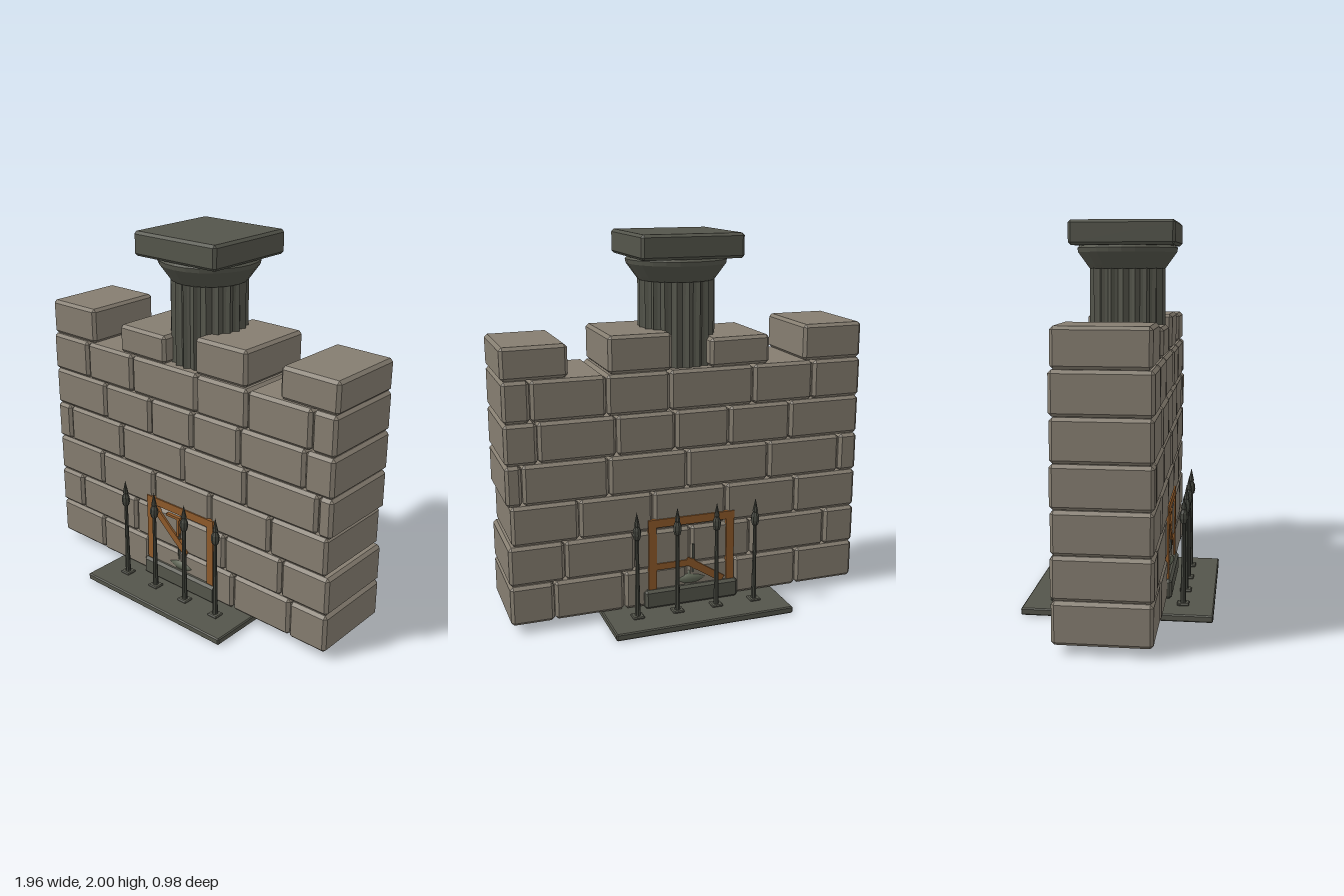
import * as THREE from 'three';
import { ConvexGeometry } from 'three/addons/geometries/ConvexGeometry.js';

const mat = (name, color) => {
  const m = new THREE.MeshStandardMaterial({ color });
  m.name = name;
  return m;
};

// Box with chamfered edges and corners
function chamferBox(w, h, d, b) {
  const pts = [];
  for (const sx of [-1, 1]) for (const sy of [-1, 1]) for (const sz of [-1, 1]) {
    for (let axis = 0; axis < 3; axis++) {
      const inset = [b, b, b];
      inset[axis] = 0;
      pts.push(new THREE.Vector3(sx * (w / 2 - inset[0]), sy * (h / 2 - inset[1]), sz * (d / 2 - inset[2])));
    }
  }
  return new ConvexGeometry(pts);
}

export function createModel() {
  const model = new THREE.Group();
  model.name = 'fortifiedWall';
  const stone = mat('wallStone', 0x857d70);
  const dark = mat('darkStone', 0x54554b);
  const iron = mat('iron', 0x45473f);
  const wood = mat('wood', 0x8f5a2a);
  const bronze = mat('agedBronze', 0x5f6555);

  const add = (parent, name, geo, material, x = 0, y = 0, z = 0) => {
    const mesh = new THREE.Mesh(geo, material);
    mesh.name = name;
    mesh.position.set(x, y, z);
    parent.add(mesh);
    return mesh;
  };
  const group = (name, parent = model) => {
    const g = new THREE.Group();
    g.name = name;
    parent.add(g);
    return g;
  };

  // Brick courses, listed by their vertical joints
  const wall = group('wall');
  const courses = [
    [-0.98, -0.625, -0.25, 0.02, 0.37, 0.745, 0.975],
    [-0.98, -0.795, -0.345, 0, 0.31, 0.685, 0.975],
    [-0.98, -0.61, -0.2, 0.21, 0.605, 0.955],
    [-0.98, -0.87, -0.445, 0.02, 0.445, 0.89, 0.975],
    [-0.98, -0.565, -0.215, 0.085, 0.4, 0.805, 0.975],
    [-0.98, -0.695, -0.35, 0.115, 0.45, 0.835, 0.975],
  ];
  const brick = (name, x0, x1, y0, y1, depth) =>
    add(wall, name, chamferBox(x1 - x0, y1 - y0, depth, 0.016), stone, (x0 + x1) / 2, (y0 + y1) / 2, 0);
  courses.forEach((joints, row) => {
    const y = 0.044 + row * 0.2125;
    for (let i = 0; i < joints.length - 1; i++) {
      const depth = 0.474 + ((i * 3 + row * 2) % 4) * 0.003;
      brick('brick', joints[i] + 0.002, joints[i + 1] - 0.002, y, y + 0.21, depth);
    }
  });

  // Battlements
  [[-0.98, -0.64, 1.51], [-0.44, -0.11, 1.47], [0.1, 0.435, 1.51], [0.64, 0.975, 1.485]]
    .forEach(([x0, x1, top], i) => {
      brick('merlon', x0, x1, 1.318, top, 0.46).rotation.z = i === 1 || i === 3 ? -0.01 : 0;
    });

  // Fluted column: scalloped outline pushed upward
  const column = group('column');
  const outline = [];
  const flutes = 20, steps = 4;
  for (let i = 0; i < flutes * steps; i++) {
    const a = (i / (flutes * steps)) * Math.PI * 2;
    const r = 0.202 - 0.02 * Math.sin(((i % steps) / steps) * Math.PI);
    outline.push(new THREE.Vector2(r * Math.cos(a), r * Math.sin(a)));
  }
  const shaftGeo = new THREE.ExtrudeGeometry(new THREE.Shape(outline), { depth: 0.6, bevelEnabled: false });
  shaftGeo.rotateX(-Math.PI / 2);
  add(column, 'flutedShaft', shaftGeo, dark, 0, 1.17, 0);

  // Capital: flaring ring below a square slab
  const flare = [[0, 1.755], [0.2, 1.755], [0.215, 1.775], [0.262, 1.84], [0.266, 1.862], [0.25, 1.876], [0, 1.876]]
    .map(([r, y]) => new THREE.Vector2(r, y));
  const flareGeo = new THREE.LatheGeometry(flare, 24).toNonIndexed();
  flareGeo.computeVertexNormals();
  add(column, 'capitalFlare', flareGeo, dark);
  add(column, 'capitalSlab', chamferBox(0.545, 0.126, 0.545, 0.014), dark, 0, 1.937, 0);

  // Ground plate and threshold
  add(model, 'groundPlate', chamferBox(0.98, 0.037, 0.98, 0.006), dark, 0, 0.0185, 0);
  add(model, 'threshold', chamferBox(0.53, 0.105, 0.53, 0.014), dark, 0, 0.0875, 0);

  // Wooden gate frames on both faces
  const beam = (parent, name, x0, y0, x1, y1, width, z, depth = 0.02) => {
    const len = Math.hypot(x1 - x0, y1 - y0);
    const m = add(parent, name, new THREE.BoxGeometry(len, width, depth), wood, (x0 + x1) / 2, (y0 + y1) / 2, z);
    m.rotation.z = Math.atan2(y1 - y0, x1 - x0);
  };
  for (const side of [1, -1]) {
    const gate = group(side > 0 ? 'frontGate' : 'backGate');
    const z = side * 0.238;
    for (const x of [-0.222, 0.218]) beam(gate, 'gatePost', x, 0.13, x, 0.49, 0.044, z);
    beam(gate, 'gateLintel', -0.246, 0.508, 0.24, 0.508, 0.044, z);
    if (side > 0) {
      beam(gate, 'brace', -0.19, 0.465, 0.045, 0.26, 0.04, z);
      beam(gate, 'hangerBar', -0.1, 0.457, 0, 0.457, 0.014, z);
      beam(gate, 'hangerPost', -0.015, 0.35, -0.015, 0.457, 0.014, z);
    } else {
      beam(gate, 'crossBar', -0.02, 0.265, 0.2, 0.265, 0.035, z);
      beam(gate, 'brace', 0.03, 0.28, -0.18, 0.145, 0.04, z);
    }

    // Hanging dish with its rod
    const dish = [[0, 0.143], [0.045, 0.148], [0.084, 0.172], [0.045, 0.19], [0.015, 0.197], [0.015, 0.215], [0, 0.215]]
      .map(([r, y]) => new THREE.Vector2(r, y));
    const dishGeo = new THREE.LatheGeometry(dish, 16);
    dishGeo.scale(1, 1, 0.3);
    add(gate, 'dish', dishGeo, bronze, 0, 0, side * 0.232);
    add(gate, 'dishRod', new THREE.CylinderGeometry(0.007, 0.007, 0.16, 8), iron, -0.012, 0.285, side * 0.238);
  }

  // Spear fence along both faces
  const profile = [[0.019, 0], [0.015, 0.02], [0.011, 0.25], [0.01, 0.43], [0.017, 0.435], [0.023, 0.46],
    [0.021, 0.485], [0.012, 0.505], [0.015, 0.512], [0, 0.582]].map(([r, y]) => new THREE.Vector2(r, y));
  const spearGeo = new THREE.LatheGeometry(profile, 8).toNonIndexed();
  spearGeo.computeVertexNormals();
  const footGeo = chamferBox(0.062, 0.014, 0.062, 0.005);
  const fence = group('spearFence');
  for (const z of [-0.33, 0.33]) {
    for (const x of [-0.33, -0.11, 0.11, 0.33]) {
      add(fence, 'spear', spearGeo, iron, x, 0.035, z);
      add(fence, 'spearFoot', footGeo, dark, x, 0.042, z);
    }
  }
  return model;
}
